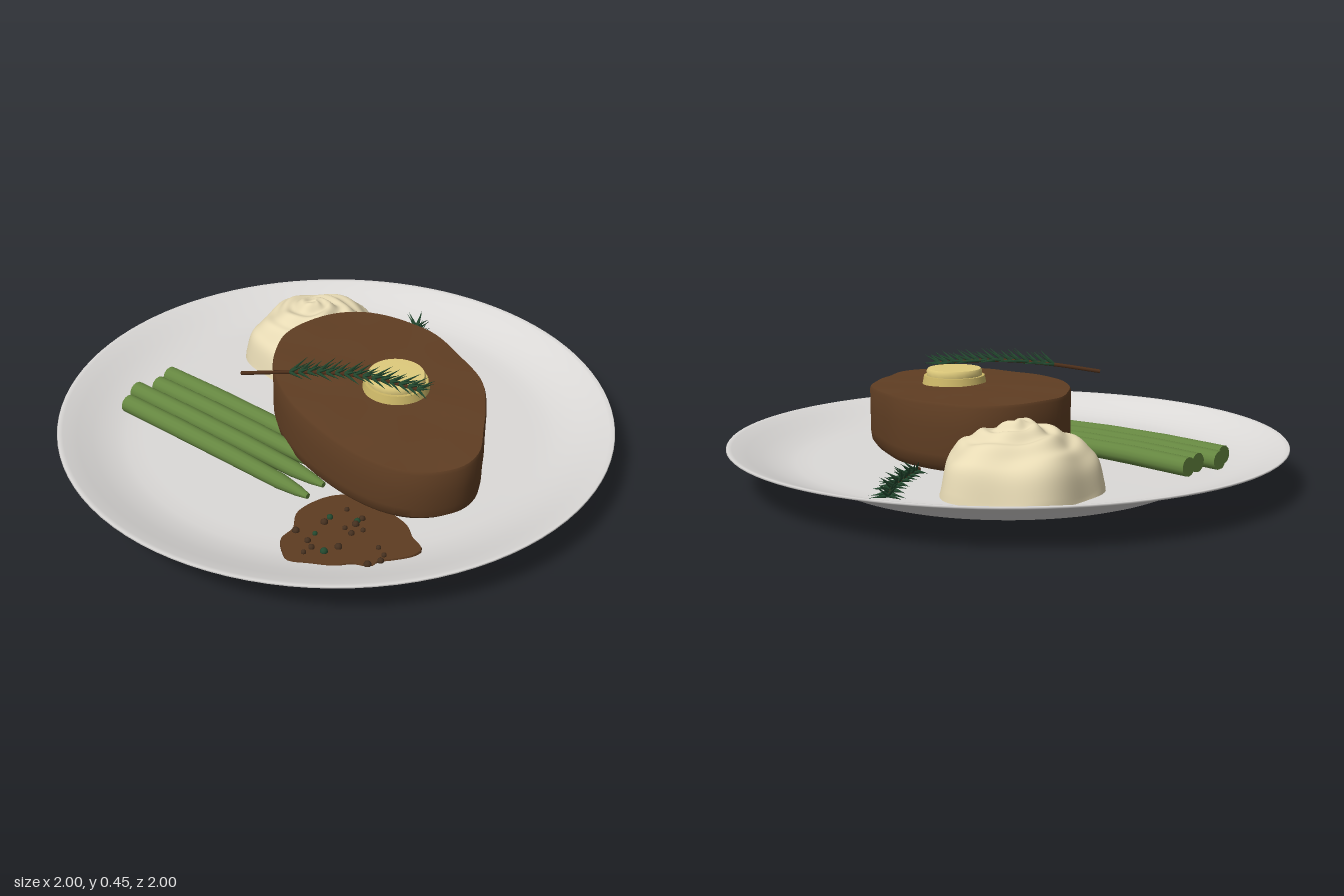
import * as THREE from 'three';
import { mergeGeometries, toCreasedNormals } from 'three/addons/utils/BufferGeometryUtils.js';

const mat = (name, color) => Object.assign(new THREE.MeshStandardMaterial({ color }), { name });
const V = (x, y, z) => new THREE.Vector3(x, y, z);

// Closed skin over rings of points, listed from the bottom centre to the top centre
function loft(rings) {
  const n = rings[0].length, pos = [], idx = [];
  rings.forEach(r => r.forEach(p => pos.push(p.x, p.y, p.z)));
  for (let i = 0; i < rings.length - 1; i++) for (let j = 0; j < n; j++) {
    const a = i * n + j, b = i * n + (j + 1) % n;
    idx.push(a, a + n, b, b, a + n, b + n);
  }
  const g = new THREE.BufferGeometry();
  g.setAttribute('position', new THREE.Float32BufferAttribute(pos, 3));
  g.setIndex(idx);
  g.computeVertexNormals();
  return g;
}

// Slab with a smooth outline; profile rows are [scale about centre, height]
function slab(outline, cx, cz, profile, height, count) {
  const curve = new THREE.CatmullRomCurve3(outline.map(([x, z]) => V(x, 0, z)), true);
  const edge = curve.getSpacedPoints(count).slice(0, count);
  const rings = profile.map(([s, h]) => edge.map(p => {
    const x = cx + (p.x - cx) * s, z = cz + (p.z - cz) * s;
    return V(x, height(x, z, h), z);
  }));
  return toCreasedNormals(loft(rings), 0.6);
}

export function createModel() {
  const model = new THREE.Group();
  const china = mat('china grey white', 0xdcdad8), meat = mat('seared brown', 0x603e23);
  const cream = mat('potato cream', 0xe9dcb6), green = mat('asparagus green', 0x658640);
  const yellow = mat('butter yellow', 0xdfcb7c), melted = mat('melted butter', 0xcdb868);
  const needleGreen = mat('rosemary green', 0x23492f), bark = mat('stem brown', 0x4d2f1a);
  const gravy = mat('sauce brown', 0x5e3c21), pepper = mat('peppercorn dark', 0x45301f);
  const add = (name, geometry, material, parent = model) => {
    const mesh = new THREE.Mesh(geometry, material);
    mesh.name = name;
    parent.add(mesh);
    return mesh;
  };

  // Plate with a foot ring and a thin sloping rim
  const plate = [[0, 0.012], [0.5, 0.012], [0.55, 0.008], [0.57, 0], [0.61, 0], [0.64, 0.01], [0.72, 0.045],
    [0.8, 0.078], [0.84, 0.091], [0.9, 0.109], [0.96, 0.126], [0.995, 0.137], [1, 0.141], [0.997, 0.145],
    [0.98, 0.143], [0.93, 0.124], [0.88, 0.105], [0.84, 0.0925], [0.8, 0.083], [0.76, 0.077], [0.7, 0.075], [0, 0.075]];
  add('plate', new THREE.LatheGeometry(plate.map(p => new THREE.Vector2(...p)), 96), china);

  // Steak: thick slab sloping gently down to one end
  const steakEdge = [[0.715, 0.02], [0.68, 0.13], [0.6, 0.21], [0.47, 0.262], [0.25, 0.285], [0.1, 0.272],
    [-0.03, 0.235], [-0.13, 0.185], [-0.23, 0.1], [-0.285, 0.03], [-0.313, -0.07], [-0.31, -0.2], [-0.26, -0.3],
    [-0.15, -0.375], [0.03, -0.425], [0.2, -0.407], [0.38, -0.36], [0.5, -0.27], [0.6, -0.17], [0.69, -0.07]];
  const steakY = (x, z, h) => h < 0.2 ? h
    : h - 0.033 * Math.max(0, x / 0.7) + 0.002 * Math.sin(17 * x + 5 * z) * Math.cos(19 * z - 4 * x);
  add('steak', slab(steakEdge, 0.2, -0.07, [[0, 0.09], [0.93, 0.09], [0.985, 0.115], [1, 0.15], [0.998, 0.24],
    [1, 0.318], [0.99, 0.328], [0.8, 0.329], [0.6, 0.329], [0.4, 0.329], [0.2, 0.329], [0, 0.329]], steakY, 96), meat);

  // Butter pat on its melting base
  const melt = add('meltedButter', new THREE.CylinderGeometry(0.112, 0.118, 0.03, 40), melted);
  melt.position.set(0.235, 0.333, -0.085);
  const pat = [[0, 0.34], [0.1, 0.34], [0.102, 0.35], [0.102, 0.366], [0.098, 0.373], [0, 0.374]];
  const butter = add('butterPat', toCreasedNormals(
    new THREE.LatheGeometry(pat.map(p => new THREE.Vector2(...p)), 40), 0.7), yellow);
  butter.position.set(0.235, 0, -0.085);

  // Mashed potato: lobed dome with spiral ridges winding to a peak
  const dome = new THREE.CatmullRomCurve3([[0, 0.31], [0.12, 0.304], [0.2, 0.29], [0.42, 0.27], [0.62, 0.246],
    [0.8, 0.21], [0.92, 0.165], [1, 0.072]].map(([r, y]) => V(r, y, 0))).getPoints(52).reverse();
  const mashRings = dome.map(({ x: r, y }) => Array.from({ length: 72 }, (_, j) => {
    const a = j / 72 * Math.PI * 2;
    const lobe = Math.cos(5 * a + 4 * (1 - r) + 1.9);
    const swirl = Math.cos(2 * a - 23 * r) * Math.min(1, r * 5) * Math.max(0, 1 - r * r);
    const radius = r * (0.261 + 0.01 * lobe * r);
    return V(-0.452 + radius * Math.cos(a), y + 0.009 * swirl + 0.009 * lobe * r * (y > 0.08 ? 1 : 0),
      -0.242 + radius * 1.05 * Math.sin(a));
  }));
  add('mashedPotato', loft(mashRings), cream);

  // Asparagus: slightly bowed spears with pointed tips
  const spears = [[-0.605, 0.34, 0.2, 0.15], [-0.57, 0.41, 0.25, 0.215], [-0.585, 0.495, 0.31, 0.285], [-0.525, 0.565, 0.33, 0.365]];
  spears.forEach(([x0, z0, x1, z1], k) => {
    const rows = [[0, 0], [0, 0.034], [0.3, 0.034], [0.6, 0.032], [0.86, 0.028], [0.95, 0.019], [1, 0.01], [1, 0]];
    const side = V(z1 - z0, 0, x0 - x1).normalize();
    const rings = rows.map(([t, r]) => Array.from({ length: 14 }, (_, j) => {
      const a = j / 14 * Math.PI * 2;
      return V(x0 + (x1 - x0) * t, 0.109 + 0.02 * t - 0.027 * t * t + r * Math.cos(a), z0 + (z1 - z0) * t)
        .addScaledVector(side, r * Math.sin(a));
    }));
    add('asparagusSpear' + (k + 1), toCreasedNormals(loft(rings), 0.8), green);
  });

  // Sauce puddle
  const sauceEdge = [[0.775, 0.27], [0.75, 0.34], [0.73, 0.38], [0.74, 0.42], [0.69, 0.45], [0.665, 0.5], [0.6, 0.56],
    [0.55, 0.603], [0.5, 0.59], [0.45, 0.56], [0.43, 0.5], [0.37, 0.44], [0.355, 0.36], [0.37, 0.28], [0.42, 0.22],
    [0.5, 0.2], [0.64, 0.19], [0.7, 0.215], [0.765, 0.23]];
  add('sauce', slab(sauceEdge, 0.55, 0.38, [[0, 0.066], [0.99, 0.066], [1, 0.07], [1, 0.09], [0.99, 0.094], [0, 0.094]],
    (x, z, h) => h, 80), gravy);

  // Peppercorns in the sauce
  const corns = [[0.46, 0.3], [0.53, 0.29], [0.54, 0.325], [0.58, 0.325], [0.46, 0.37], [0.47, 0.4], [0.535, 0.365],
    [0.57, 0.365], [0.6, 0.44], [0.5, 0.46], [0.515, 0.5], [0.45, 0.5], [0.555, 0.545], [0.55, 0.51], [0.59, 0.49],
    [0.68, 0.34], [0.735, 0.375], [0.725, 0.42], [0.72, 0.35], [0.53, 0.31]];
  const cornParts = [[], []];
  corns.forEach(([x, z], i) => cornParts[i % 5 === 4 ? 1 : 0].push(
    new THREE.SphereGeometry(0.009 + 0.002 * (i % 3), 10, 7).translate(x, 0.096, z)));
  add('peppercorns', mergeGeometries(cornParts[0]), pepper);
  add('greenPeppercorns', mergeGeometries(cornParts[1]), needleGreen);

  // Rosemary sprig: woody stem with needles swept towards the tip
  function sprig(name, points, start, length, count) {
    const group = new THREE.Group();
    group.name = name;
    model.add(group);
    const curve = new THREE.CatmullRomCurve3(points.map(p => V(...p)));
    add('stem', new THREE.TubeGeometry(curve, 30, 0.007, 7), bark, group);
    const needles = [];
    for (let i = 0; i < count; i++) {
      const t = Math.min(1, THREE.MathUtils.lerp(start, 1, i / (count - 1)));
      const p = curve.getPointAt(t), tangent = curve.getTangentAt(t);
      const side = V(0, 1, 0).cross(tangent).normalize(), up = tangent.clone().cross(side);
      for (let k = 0; k < 4; k++) {
        const a = 0.1 + k * 0.98 + 0.15 * Math.sin(i * 2.4);
        const len = length * (1 - 0.2 * (i % 3) / 2);
        const dir = tangent.clone().multiplyScalar(0.75).addScaledVector(side, 0.75 * Math.cos(a))
          .addScaledVector(up, 0.6 * Math.sin(a)).normalize();
        const needle = new THREE.ConeGeometry(0.007, len, 5).translate(0, len / 2, 0);
        needle.applyQuaternion(new THREE.Quaternion().setFromUnitVectors(V(0, 1, 0), dir));
        needles.push(needle.translate(p.x, p.y, p.z));
      }
    }
    add('needles', mergeGeometries(needles), needleGreen, group);
  }
  sprig('rosemaryOnSteak', [[-0.095, 0.368, 0.34], [0.03, 0.388, 0.215], [0.16, 0.397, 0.085], [0.27, 0.388, -0.01],
    [0.36, 0.375, -0.075]], 0.28, 0.083, 15);
  sprig('rosemaryOnPlate', [[-0.06, 0.088, -0.4], [-0.16, 0.095, -0.5], [-0.27, 0.097, -0.61], [-0.35, 0.093, -0.67]],
    0.1, 0.083, 14);

  return model;
}
